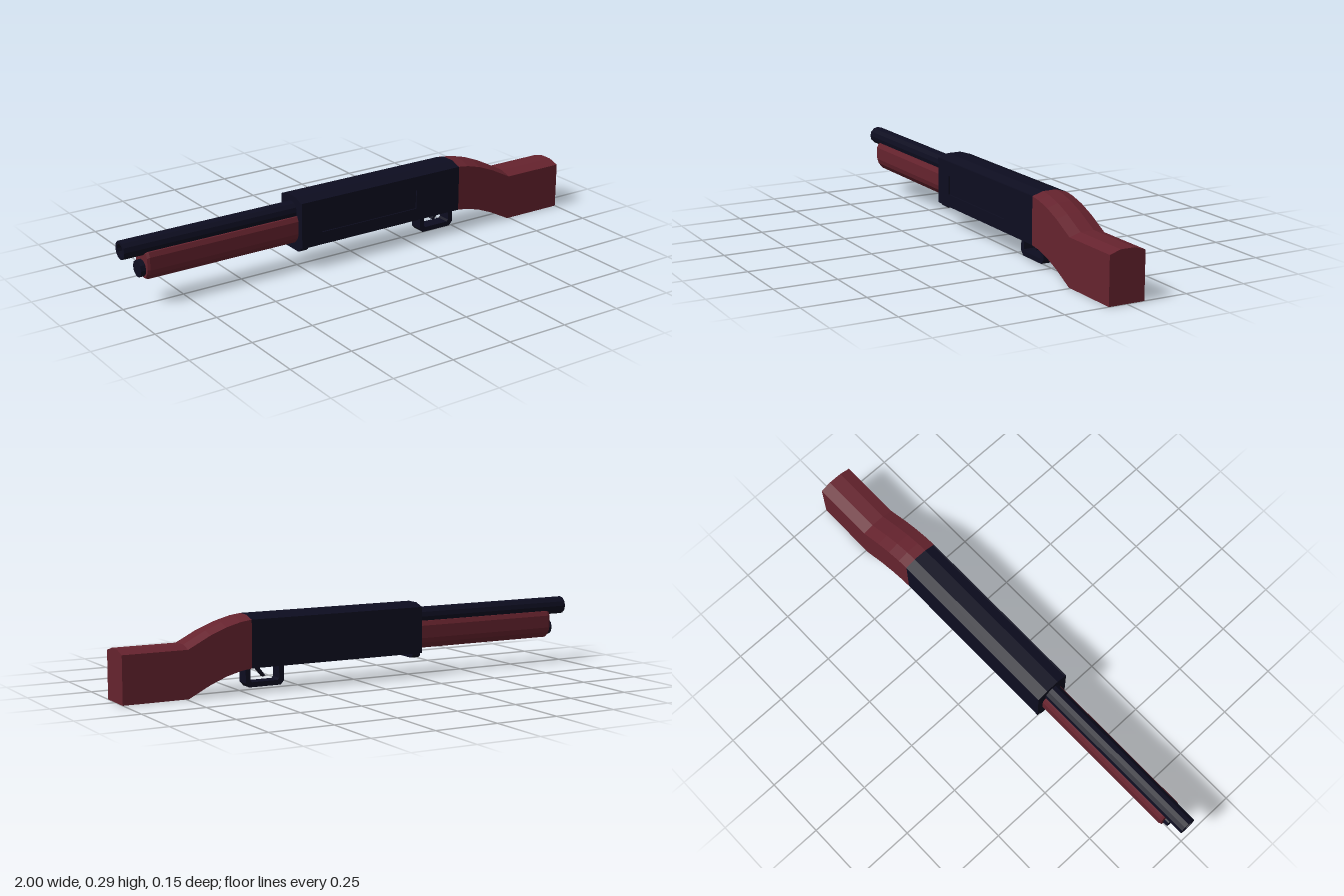
import * as THREE from 'three';

const metal = new THREE.MeshStandardMaterial({ color: 0x0d0d20, flatShading: true });
metal.name = 'blued metal';
const wood = new THREE.MeshStandardMaterial({ color: 0x66232e, flatShading: true });
wood.name = 'red wood';

// Lofts a [z, y] outline (counter-clockwise seen from +x, starting anywhere)
// through stations { x, dy, s } along the x axis, with capped ends.
function loft(outline, stations) {
  const n = outline.length, pos = [], idx = [];
  const cy = outline.reduce((sum, p) => sum + p[1], 0) / n;
  for (const { x, dy = 0, s = 1 } of stations)
    for (const [z, y] of outline) pos.push(x, cy + (y - cy) * s + dy, z * s);
  for (let i = 0; i < stations.length - 1; i++)
    for (let j = 0; j < n; j++) {
      const a = i * n + j, b = i * n + (j + 1) % n;
      idx.push(a, b, a + n, b, b + n, a + n);
    }
  const last = (stations.length - 1) * n;
  for (let j = 1; j < n - 1; j++) {
    idx.push(0, j + 1, j);
    idx.push(last, last + j, last + j + 1);
  }
  // The outline runs clockwise in (z, y), so flip every face outward
  for (let i = 0; i < idx.length; i += 3) [idx[i], idx[i + 1]] = [idx[i + 1], idx[i]];
  const g = new THREE.BufferGeometry();
  g.setAttribute('position', new THREE.Float32BufferAttribute(pos, 3));
  g.setIndex(idx);
  const flat = g.toNonIndexed();
  flat.computeVertexNormals();
  return flat;
}

// Mirrors a half outline, given bottom to top on +z, into a closed one
const mirrored = (half) => [...half, ...half.slice().reverse().map(([z, y]) => [-z, y])];

export function createModel() {
  const model = new THREE.Group();
  const add = (name, geometry, material, x = 0, y = 0, z = 0) => {
    const mesh = new THREE.Mesh(geometry, material);
    mesh.name = name;
    mesh.position.set(x, y, z);
    model.add(mesh);
    return mesh;
  };

  // Receiver, with its +z wall left thin for the port plate
  const half = [[0.073, 0.095], [0.073, 0.28], [0.028, 0.294]];
  const body = mirrored(half);
  body[0] = [0.067, 0.095];
  body[1] = [0.067, 0.28];
  add('receiver', loft(body, [{ x: -0.27 }, { x: 0.48 }]), metal);

  // Side plate with the port cut through it
  const plate = new THREE.Shape();
  plate.moveTo(-0.27, 0.095).lineTo(0.48, 0.095).lineTo(0.48, 0.28).lineTo(-0.27, 0.28).closePath();
  const port = new THREE.Path();
  port.moveTo(-0.18, 0.145).lineTo(-0.18, 0.222).lineTo(0.27, 0.222).lineTo(0.27, 0.145).closePath();
  plate.holes.push(port);
  add('portPlate', new THREE.ExtrudeGeometry(plate, { depth: 0.006, bevelEnabled: false }), metal, 0, 0, 0.067);

  // Chamfered lug under the receiver's front
  const lug = mirrored([[0.045, 0.075], [0.06, 0.085], [0.06, 0.1]]);
  add('frontLug', loft(lug, [{ x: -0.27 }, { x: -0.235 }]), metal);

  // Stock: same section, sweeping down to a straight butt
  add('stock', loft(mirrored(half), [
    { x: 0.48 }, { x: 0.525, dy: -0.006 }, { x: 0.585, dy: -0.022 },
    { x: 0.65, dy: -0.048 }, { x: 0.74, dy: -0.094 }, { x: 1, dy: -0.094 },
  ]), wood);

  // Barrel with a shallow bore
  const barrel = new THREE.LatheGeometry([
    [0, 0], [0.036, 0], [0.036, 0.75], [0.024, 0.75], [0.024, 0.72], [0, 0.72],
  ].map(([r, h]) => new THREE.Vector2(r, h)), 12);
  add('barrel', barrel, metal, -0.25, 0.235).rotation.z = Math.PI / 2;

  // Magazine tube and its cap
  const tube = new THREE.CylinderGeometry(0.033, 0.033, 0.66, 10);
  add('magazineTube', tube, metal, -0.605, 0.148).rotation.z = Math.PI / 2;

  // Faceted fore-end
  const grip = mirrored([[0.024, 0.108], [0.042, 0.13], [0.048, 0.15], [0.048, 0.2], [0.04, 0.218]]);
  add('foreEnd', loft(grip, [{ x: -0.915, s: 0.92 }, { x: -0.905 }, { x: -0.26 }]), wood);

  // Trigger guard loop with chamfered lower corners
  const guard = new THREE.Shape();
  guard.moveTo(0.322, 0.1).lineTo(0.322, 0.03).lineTo(0.337, 0.014).lineTo(0.47, 0.014)
    .lineTo(0.485, 0.03).lineTo(0.485, 0.1).closePath();
  const opening = new THREE.Path();
  opening.moveTo(0.343, 0.093).lineTo(0.465, 0.093).lineTo(0.465, 0.04).lineTo(0.458, 0.033)
    .lineTo(0.35, 0.033).lineTo(0.343, 0.04).closePath();
  guard.holes.push(opening);
  add('triggerGuard', new THREE.ExtrudeGeometry(guard, { depth: 0.054, bevelEnabled: false }), metal, 0, 0, -0.027);

  // Slanted trigger
  const trigger = new THREE.Shape();
  trigger.moveTo(0.432, 0.1).lineTo(0.394, 0.052).lineTo(0.404, 0.048).lineTo(0.448, 0.1).closePath();
  add('trigger', new THREE.ExtrudeGeometry(trigger, { depth: 0.02, bevelEnabled: false }), metal, 0, 0, -0.01);

  return model;
}
